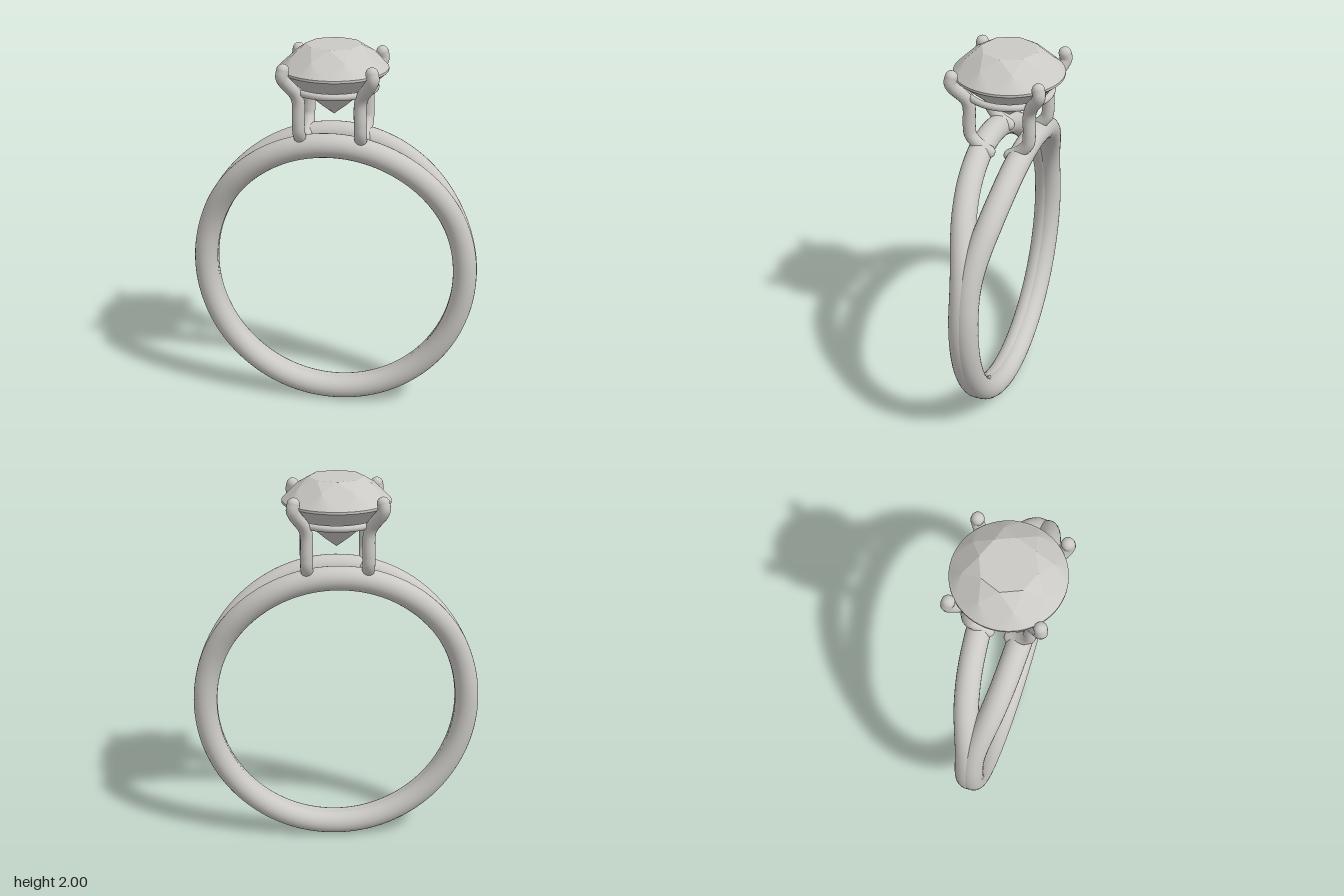
import * as THREE from 'three';

const metal = new THREE.MeshStandardMaterial({ color: 0xcbc9c5 });
metal.name = 'silver';
const stone = new THREE.MeshStandardMaterial({ color: 0xcbc9c5, flatShading: true });
stone.name = 'stone';

function add(parent, geometry, material, name) {
  const mesh = new THREE.Mesh(geometry, material);
  mesh.name = name;
  parent.add(mesh);
  return mesh;
}

// One strand of the split band: an oval loop that swings sideways near the top
function strandGeometry(side) {
  const spread = [[0.013, 0.9], [0.013, 1.0], [0.022, 1.1], [0.042, 1.2], [0.066, 1.3], [0.088, 1.4], [0.107, 1.505]];
  const zAt = (y) => {
    if (y <= 0.9) return 0.013;
    for (let i = 1; i < spread.length; i++) {
      const [z0, y0] = spread[i - 1], [z1, y1] = spread[i];
      if (y <= y1) return THREE.MathUtils.mapLinear(y, y0, y1, z0, z1);
    }
    return 0.107;
  };
  const points = [];
  for (let i = 0; i < 48; i++) {
    const a = (i / 48) * Math.PI * 2;
    const y = 0.783 + 0.721 * Math.sin(a);
    points.push(new THREE.Vector3(0.696 * Math.cos(a), y, side * zAt(y)));
  }
  return new THREE.TubeGeometry(new THREE.CatmullRomCurve3(points, true), 160, 0.062, 24, true);
}

// Round brilliant cut built from rings of facet corners
function gemGeometry() {
  const positions = [];
  const centre = new THREE.Vector3(0, 1.85, 0);
  const at = (r, y, step) => {
    const a = (step / 64) * Math.PI * 2;
    return new THREE.Vector3(r * Math.cos(a), y, r * Math.sin(a));
  };
  const tri = (a, b, c) => {
    const n = b.clone().sub(a).cross(c.clone().sub(a));
    const out = a.clone().add(b).add(c).divideScalar(3).sub(centre);
    const corners = n.dot(out) > 0 ? [a, b, c] : [a, c, b];
    corners.forEach((p) => positions.push(p.x, p.y, p.z));
  };
  const table = (s) => at(0.14, 2.0, s);
  const star = (s) => at(0.21, 1.954, s);
  const upper = (s) => at(0.275, 1.885, s);
  const lower = (s) => at(0.275, 1.873, s);
  const pavilion = (s) => at(0.07, 1.694, s);
  const top = new THREE.Vector3(0, 2, 0);
  const culet = new THREE.Vector3(0, 1.64, 0);
  for (let s = 0; s < 64; s += 8) {
    // table, star and kite facets
    tri(top, table(s), table(s + 8));
    tri(table(s), table(s + 8), star(s + 4));
    tri(table(s), star(s - 4), upper(s));
    tri(table(s), star(s + 4), upper(s));
    // pavilion mains
    tri(culet, pavilion(s - 4), lower(s));
    tri(culet, pavilion(s + 4), lower(s));
    // half facets and girdle
    for (let k = s; k < s + 8; k++) {
      tri(star(s + 4), upper(k), upper(k + 1));
      tri(pavilion(s + 4), lower(k), lower(k + 1));
      tri(upper(k), upper(k + 1), lower(k));
      tri(lower(k), lower(k + 1), upper(k + 1));
    }
  }
  const geometry = new THREE.BufferGeometry();
  geometry.setAttribute('position', new THREE.Float32BufferAttribute(positions, 3));
  geometry.computeVertexNormals();
  return geometry;
}

// Prong with rounded ends, hooked into the band and leaning out to the stone
function makeProng(sx, sz) {
  const prong = new THREE.Group();
  const path = [
    [0.15, 1.5, 0.055], [0.152, 1.53, 0.105], [0.155, 1.58, 0.148], [0.155, 1.63, 0.155],
    [0.155, 1.74, 0.155], [0.168, 1.785, 0.168], [0.212, 1.855, 0.212], [0.222, 1.882, 0.222], [0.217, 1.913, 0.217],
  ].map(([x, y, z]) => new THREE.Vector3(sx * x, y, sz * z));
  add(prong, new THREE.TubeGeometry(new THREE.CatmullRomCurve3(path), 48, 0.032, 16), metal, 'prongWire');
  for (const [p, name] of [[path[0], 'prongFoot'], [path[path.length - 1], 'prongTip']]) {
    add(prong, new THREE.SphereGeometry(0.032, 16, 12), metal, name).position.copy(p);
  }
  return prong;
}

export function createModel() {
  const ring = new THREE.Group();
  ring.name = 'ring';

  add(ring, strandGeometry(1), metal, 'frontBandStrand');
  add(ring, strandGeometry(-1), metal, 'backBandStrand');

  // Setting
  const setting = new THREE.Group();
  setting.name = 'setting';
  ring.add(setting);
  const seat = add(setting, new THREE.TorusGeometry(0.211, 0.017, 12, 64), metal, 'stoneSeat');
  seat.rotation.x = Math.PI / 2;
  seat.position.y = 1.785;
  for (const sx of [1, -1]) {
    for (const sz of [1, -1]) {
      const prong = makeProng(sx, sz);
      prong.name = (sz > 0 ? 'front' : 'back') + (sx > 0 ? 'Left' : 'Right') + 'Prong';
      setting.add(prong);
    }
  }

  add(ring, gemGeometry(), stone, 'gemstone');
  return ring;
}
